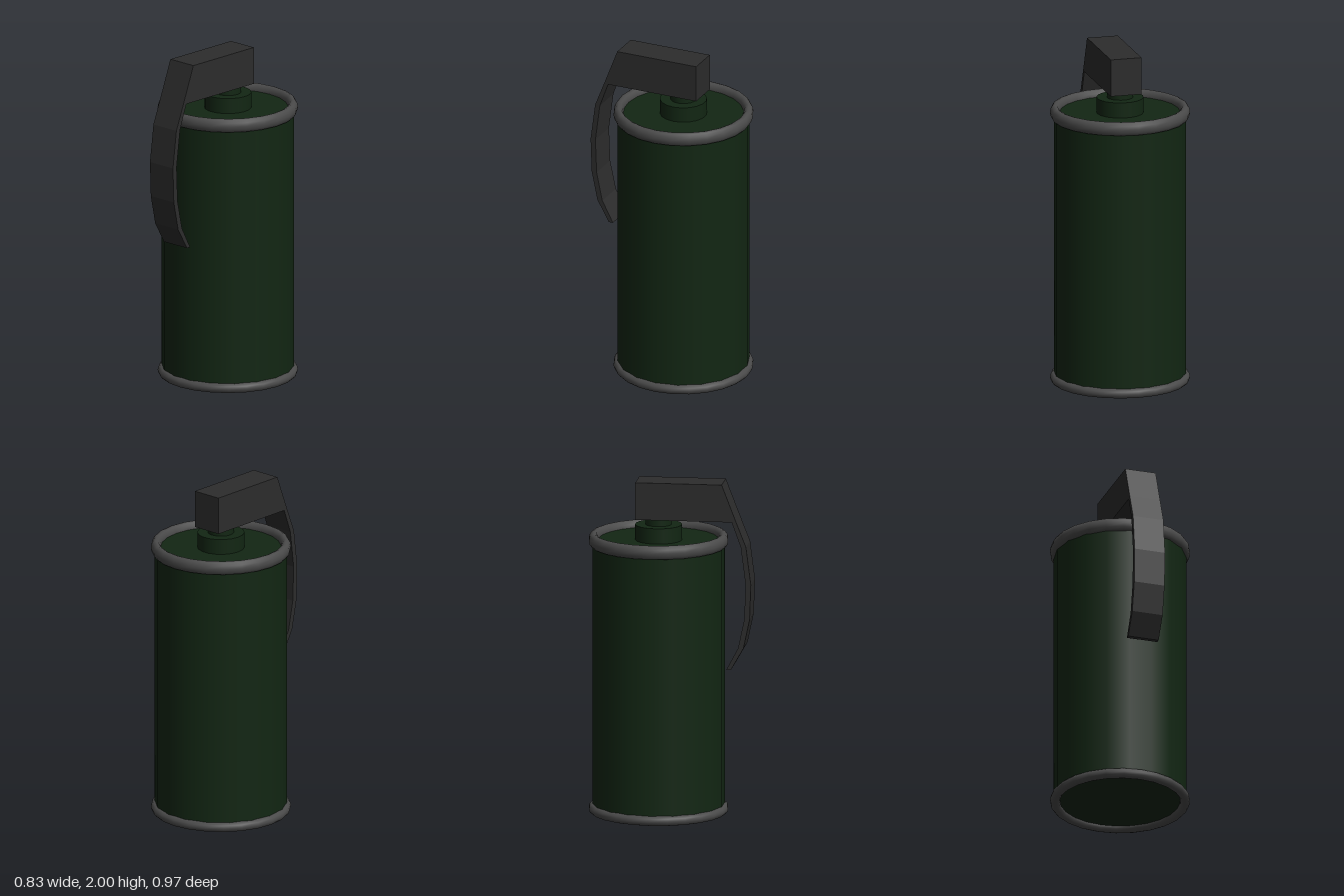
import * as THREE from 'three';

const AXIS_Z = -0.074; // the can sits slightly behind the origin

const green = new THREE.MeshStandardMaterial({ color: 0x122613 });
const rimGrey = new THREE.MeshStandardMaterial({ color: 0x4a4a4a });
const leverGrey = new THREE.MeshStandardMaterial({ color: 0x2c2c2c });

function part(name, geometry, material) {
  const mesh = new THREE.Mesh(geometry, material);
  mesh.name = name;
  return mesh;
}

// Upright cylinder between two heights, on the can's axis
function cylinder(name, radius, y0, y1, sides) {
  const geo = new THREE.CylinderGeometry(radius, radius, y1 - y0, sides);
  geo.rotateY(Math.PI / 2);
  geo.translate(0, (y0 + y1) / 2, AXIS_Z);
  return part(name, geo, green);
}

// Rolled rim: a torus stretched to the given half height
function rim(name, y, halfHeight) {
  const tube = 0.029;
  const geo = new THREE.TorusGeometry(0.384, tube, 12, 24);
  geo.rotateX(Math.PI / 2);
  geo.scale(1, halfHeight / tube, 1);
  geo.translate(0, y, AXIS_Z);
  return part(name, geo, rimGrey);
}

// Safety lever: side profile as (z, y), extruded across x
function lever() {
  const width = 0.188;
  const profile = [
    [-0.2, 1.777], [0.373, 1.777],
    // inner curve, downwards
    [0.426, 1.63], [0.455, 1.405], [0.447, 1.195], [0.41, 1.02], [0.341, 0.89],
    // outer curve, upwards
    [0.368, 0.89], [0.442, 1.02], [0.479, 1.195], [0.486, 1.405], [0.457, 1.63], [0.394, 1.79],
    [0.313, 2], [-0.2, 2],
  ];
  const shape = new THREE.Shape(profile.map(([z, y]) => new THREE.Vector2(z, y)));
  const geo = new THREE.ExtrudeGeometry(shape, { depth: width, bevelEnabled: false });
  geo.rotateY(-Math.PI / 2);
  geo.translate(width / 2 - 0.002, 0, 0);
  return part('lever', geo, leverGrey);
}

export function createModel() {
  const model = new THREE.Group();
  model.name = 'canister';
  model.add(
    cylinder('body', 0.39, 0.03, 1.643, 18),
    cylinder('collar', 0.139, 1.64, 1.735, 18),
    cylinder('neck', 0.077, 1.73, 1.79, 18),
    rim('topRim', 1.643, 0.042),
    rim('bottomRim', 0.03, 0.03),
    lever(),
  );
  return model;
}
